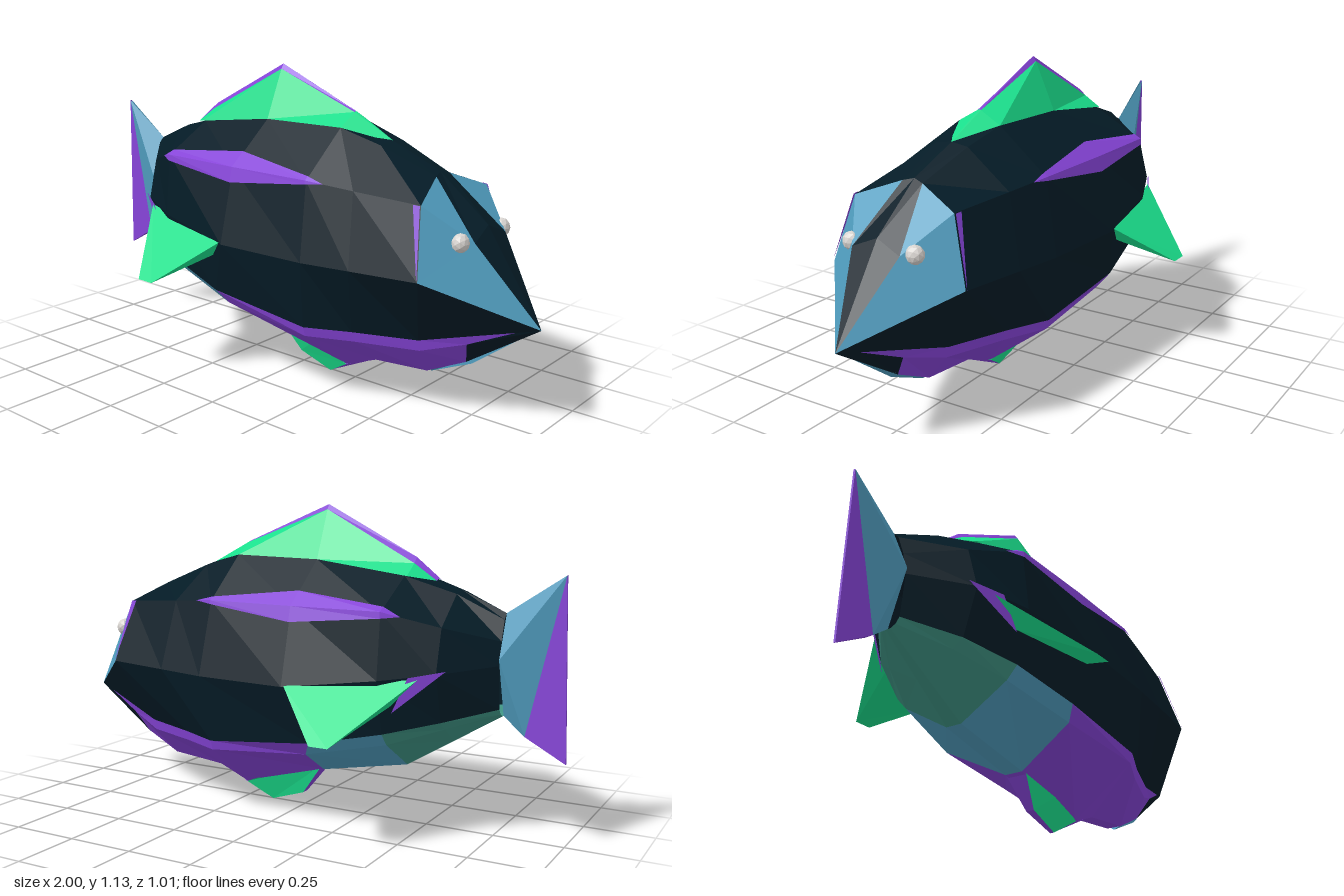
import * as THREE from 'three';

const paint = (name, color) => new THREE.MeshStandardMaterial({ name, color, flatShading: true, side: THREE.DoubleSide });

// Cross-sections from tail to head, each a half ring from back ridge to keel
const rings = [
  [[-.78, .79, 0], [-.78, .77, .02], [-.78, .70, .045], [-.78, .62, .06], [-.78, .47, .045], [-.78, .45, .03], [-.78, .44, .01]],
  [[-.62, .86, 0], [-.62, .85, .05], [-.62, .75, .18], [-.62, .60, .22], [-.62, .43, .17], [-.62, .40, .13], [-.61, .335, .02]],
  [[-.44, .91, 0], [-.44, .905, .08], [-.44, .80, .27], [-.44, .575, .295], [-.44, .385, .25], [-.44, .34, .21], [-.44, .23, .03]],
  [[-.10, .95, 0], [-.10, .95, .09], [-.10, .80, .275], [-.10, .53, .345], [-.18, .33, .295], [-.15, .28, .26], [-.10, .165, .035]],
  [[.24, .96, 0], [.24, .955, .085], [.24, .80, .27], [.26, .53, .325], [.24, .285, .285], [.24, .25, .275], [.24, .07, .035]],
  [[.40, .92, 0], [.40, .91, .065], [.42, .787, .242], [.45, .535, .302], [.40, .287, .215], [.40, .25, .205], [.37, .12, .03]],
  [[.60, .84, 0], [.61, .83, .04], [.66, .77, .20], [.70, .54, .268], [.62, .29, .135], [.62, .25, .125], [.59, .14, .03]],
];

const mix = (a, b, t) => a.map((v, i) => v + (b[i] - v) * t);
const mirror = (p) => [p[0], p[1], -p[2]];
const out = (p) => [p[0], p[1], p[2] + .006];

// Point on the body line of a given column at x
function along(x, col) {
  let i = 0;
  while (i < rings.length - 2 && rings[i + 1][col][0] < x) i++;
  const a = rings[i][col], b = rings[i + 1][col];
  return mix(a, b, (x - a[0]) / (b[0] - a[0]));
}

export function createModel() {
  const group = new THREE.Group();
  const navy = paint('dark navy', 0x041b26), purple = paint('purple', 0x8644d8);
  const green = paint('bright green', 0x1adf8c), blue = paint('soft blue', 0x509dbf);
  const teal = paint('teal', 0x3f9484), eyeWhite = paint('eye white', 0xd8d4d0);

  // The body bends very slightly from nose to tail
  const bend = (x) => x * .02;

  // Polygons, fanned from their first corner, with their mirror image
  function faces(name, material, polys) {
    const pos = [];
    const add = (poly) => {
      for (let i = 1; i < poly.length - 1; i++)
        for (const p of [poly[0], poly[i], poly[i + 1]]) pos.push(p[0], p[1], p[2] + bend(p[0]));
    };
    for (const poly of polys) {
      add(poly);
      add(poly.map(mirror).reverse());
    }
    const geo = new THREE.BufferGeometry();
    geo.setAttribute('position', new THREE.Float32BufferAttribute(pos, 3));
    geo.computeVertexNormals();
    const mesh = new THREE.Mesh(geo, material);
    mesh.name = name;
    group.add(mesh);
  }

  // Body bands: dark flanks, coloured belly
  const flank = [], bellyRear = [], bellyMid = [], bellyFront = [];
  for (let i = 0; i < rings.length - 1; i++) {
    const a = rings[i], b = rings[i + 1];
    const belly = i < 2 ? bellyRear : i < 3 ? bellyMid : bellyFront;
    for (let c = 0; c < 6; c++) (c < 4 ? flank : belly).push([a[c], a[c + 1], b[c + 1], b[c]]);
    const ka = [a[6][0], a[6][1], 0], kb = [b[6][0], b[6][1], 0];
    belly.push([a[6], ka, kb, b[6]]);
  }
  faces('flanks', navy, flank);
  faces('rearBelly', teal, bellyRear);
  faces('middleBelly', blue, bellyMid);
  faces('frontBelly', purple, bellyFront);

  // Head: blue cheeks, dark brow and jaw
  const [T, A, B, C, D, F, E] = rings[6];
  const nose = [1, .38, 0], brow = [.80, .65, .095], ridge = [.79, .69, 0];
  const jawSide = [.77, .295, .07], jawLow = [.74, .21, .02];
  const lip = mix(D, nose, .8);
  faces('cheeks', blue, [[brow, A, B], [brow, B, C], [brow, C, nose]]);
  faces('brow', navy, [[T, A, brow, ridge], [ridge, brow, nose]]);
  faces('upperJaw', navy, [[C, D, nose]]);
  faces('throat', purple, [[D, F, jawSide], [F, E, jawLow, jawSide], [D, jawSide, lip]]);
  faces('chin', navy, [[jawSide, jawLow, nose, lip]]);
  faces('chinKeel', blue, [[[.59, .13, 0], [.60, .15, .03], [.75, .22, .022], [.97, .365, 0], [.75, .20, 0]]]);
  faces('collar', purple, [[out(B), out(mix(B, rings[5][2], .1)), out(C)]]);

  // Eyes
  for (const s of [1, -1]) {
    const eye = new THREE.Mesh(new THREE.IcosahedronGeometry(.033, 1), eyeWhite);
    eye.name = s > 0 ? 'leftEye' : 'rightEye';
    eye.position.set(.765, .652, s * .127 + bend(.765));
    eye.scale.set(.9, 1, 1);
    group.add(eye);
  }

  // Side stripes, folded over the upper edge of the flank
  const stripe = [[-.5, 0, 0], [-.44, .14, .1], [-.1, .32, .2], [.24, .08, .05], [.31, 0, 0]].map(([x, up, down]) => {
    const m = along(x, 2);
    return [mix(m, along(x, 1), up), m, mix(m, along(x, 3), down)].map((p) => [p[0], p[1] + .002, p[2] + .005]);
  });
  const stripeFaces = [];
  for (let i = 0; i < stripe.length - 1; i++)
    for (let c = 0; c < 2; c++)
      stripeFaces.push([stripe[i][c], stripe[i][c + 1], stripe[i + 1][c + 1], stripe[i + 1][c]]);
  faces('sideStripes', purple, stripeFaces);

  // Dorsal fin with a purple ridge, widest at the rear
  const base = [[-.45, .905, .085], [-.1, .95, .09], [.24, .955, .085], [.42, .91, 0]];
  const crest = [[-.45, .945, .022], [-.1, 1.125, .012], [.24, 1.0, .007]];
  const finBack = [-.535, .888, .022];
  faces('dorsalFin', green, [
    [base[0], base[1], crest[1], crest[0]],
    [base[1], base[2], crest[2], crest[1]],
    [base[2], base[3], crest[2]],
    [finBack, base[0], crest[0]],
    [crest[2], base[3], [.24, 1.003, 0]],
  ]);
  faces('dorsalRidge', purple, [
    [crest[0], crest[1], [-.1, 1.143, 0], [-.45, .965, 0]],
    [finBack, crest[0], [-.45, .965, 0], [-.535, .895, 0]],
    [crest[1], crest[2], [.24, 1.003, 0], [-.1, 1.143, 0]],
  ]);

  // Pectoral fins: wedges thinning outward to a blunt tip
  const rearTop = [-.57, .585, .25], frontTop = [-.11, .535, .345];
  const rearLow = [-.48, .49, .27], frontLow = [-.15, .48, .335];
  const tipRear = [-.37, .383, .505], tipFront = [-.30, .383, .505];
  faces('pectoralFins', green, [
    [rearTop, tipRear, tipFront, frontTop],
    [rearLow, frontLow, tipFront, tipRear],
    [frontTop, tipFront, frontLow],
    [rearTop, rearLow, tipRear],
  ]);
  faces('pectoralRoots', purple, [[[-.65, .612, .21], [-.49, .47, .284], [-.54, .59, .268]]]);

  // Bottom fin
  const hem = [[0, .055, .016], [.14, .008, .008]];
  const root = [[-.1, .185, .045], [.1, .13, .055], [.24, .07, .04]];
  faces('bottomFin', green, [[hem[0], hem[1], root[2], root[1], root[0]]]);
  faces('bottomFinEdge', purple, [
    [root[0], hem[0], [0, .055, 0], [-.1, .185, 0]],
    [hem[0], hem[1], [.14, .008, 0], [0, .055, 0]],
    [root[2], hem[1], [.14, .008, 0], [.37, .118, 0]],
  ]);

  // Tail fin
  const top = [-.78, .79, 0], mid = [-.78, .64, .065], low = [-.78, .44, 0];
  const tailTop = [-.98, .925, .004], tailMid = [-.86, .38, .016], tailLow = [-1, .30, .004];
  faces('tailFin', blue, [[top, tailTop, mid], [mid, tailTop, tailMid], [mid, tailMid, low]]);
  faces('tailEdge', purple, [
    [tailTop, tailLow, tailMid],
    [tailTop, [-.98, .925, 0], [-1, .30, 0], tailLow],
    [tailMid, tailLow, [-1, .30, 0], [-.86, .38, 0]],
  ]);

  return group;
}
